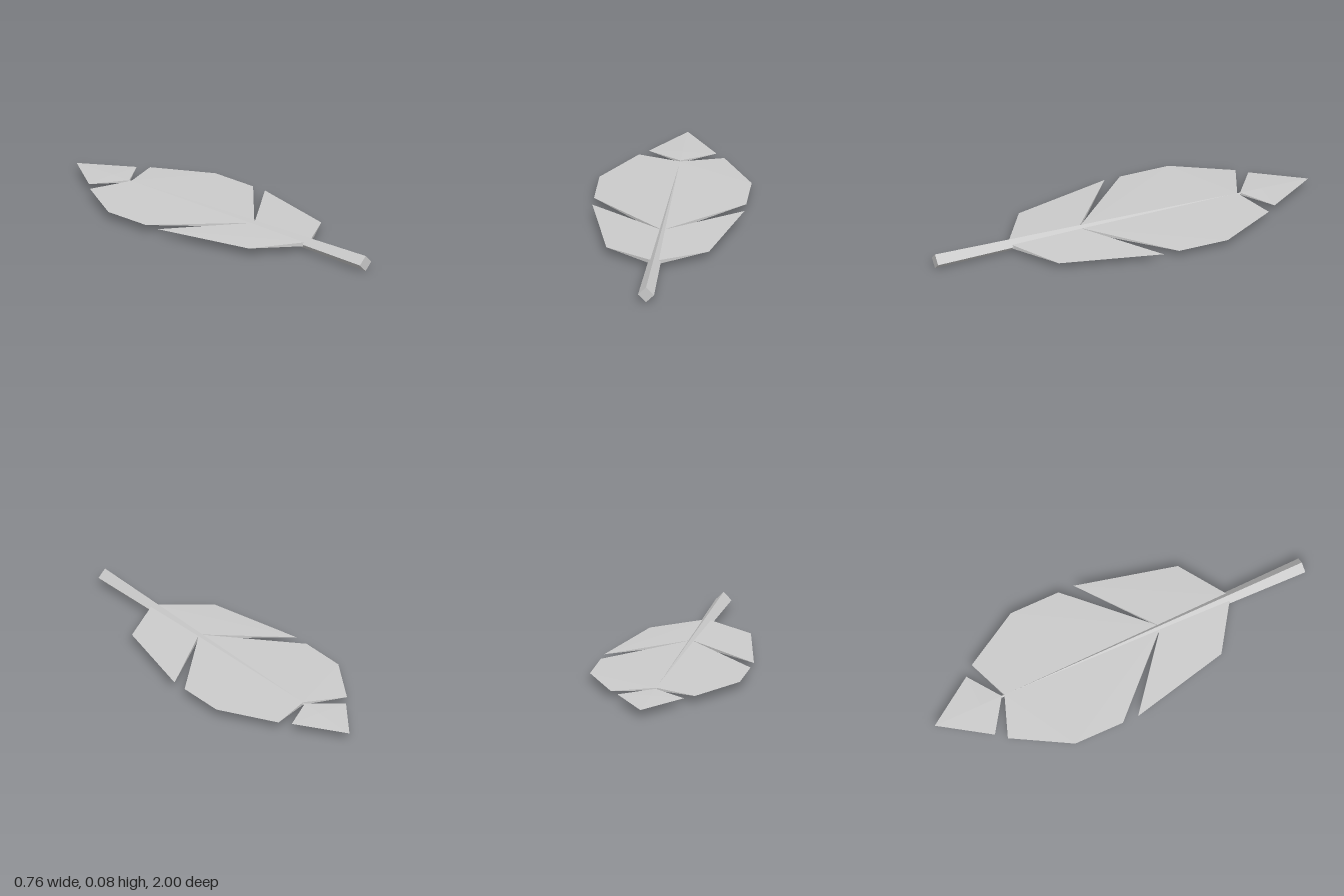
import * as THREE from 'three';
import { ConvexGeometry } from 'three/addons/geometries/ConvexGeometry.js';

const MID_Y = 0.04; // height of the feather's flat plane

// Half outlines as [x, z]; points on x = 0 carry the thickness given by ridge
const vanes = [
  { name: 'TipVane', outline: [[0, -1], [0.168, -0.75], [0, -0.635]], ridge: [0, 0, 0.006] },
  { name: 'MiddleVane', outline: [[0, -0.62], [0.212, -0.7], [0.378, -0.41], [0.378, -0.15], [0, 0.23]], ridge: [0.007, 0, 0, 0, 0.011] },
  { name: 'LowerVane', outline: [[0, 0.23], [0.378, -0.068], [0.255, 0.443], [0, 0.61]], ridge: [0.011, 0, 0, 0.011] },
];

// Thin wedge, thickest along the shaft and sharp at its outer edge
function vaneGeometry({ outline, ridge }, side) {
  const points = [];
  outline.forEach(([x, z], i) => {
    points.push(new THREE.Vector3(side * x, ridge[i], z));
    if (ridge[i] > 0) points.push(new THREE.Vector3(side * x, -ridge[i], z));
  });
  // a sharp point on both ends still needs some body along the shaft
  if (ridge[0] === 0) {
    for (const s of [1, -1]) points.push(new THREE.Vector3(0, s * 0.005, -0.75));
  }
  return new ConvexGeometry(points);
}

export function createModel() {
  const group = new THREE.Group();
  group.name = 'feather';
  const material = new THREE.MeshStandardMaterial({ color: 0xcccccc, flatShading: true });

  // Four-sided shaft tapering to a point
  const shaft = new THREE.Mesh(new THREE.CylinderGeometry(0, 0.04, 1.93, 4), material);
  shaft.name = 'shaft';
  shaft.rotation.x = -Math.PI / 2;
  shaft.position.set(0, MID_Y, 0.035);
  group.add(shaft);

  // Mirrored vanes
  for (const vane of vanes) {
    for (const side of [1, -1]) {
      const mesh = new THREE.Mesh(vaneGeometry(vane, side), material);
      mesh.name = (side > 0 ? 'left' : 'right') + vane.name;
      mesh.position.y = MID_Y;
      group.add(mesh);
    }
  }
  return group;
}
